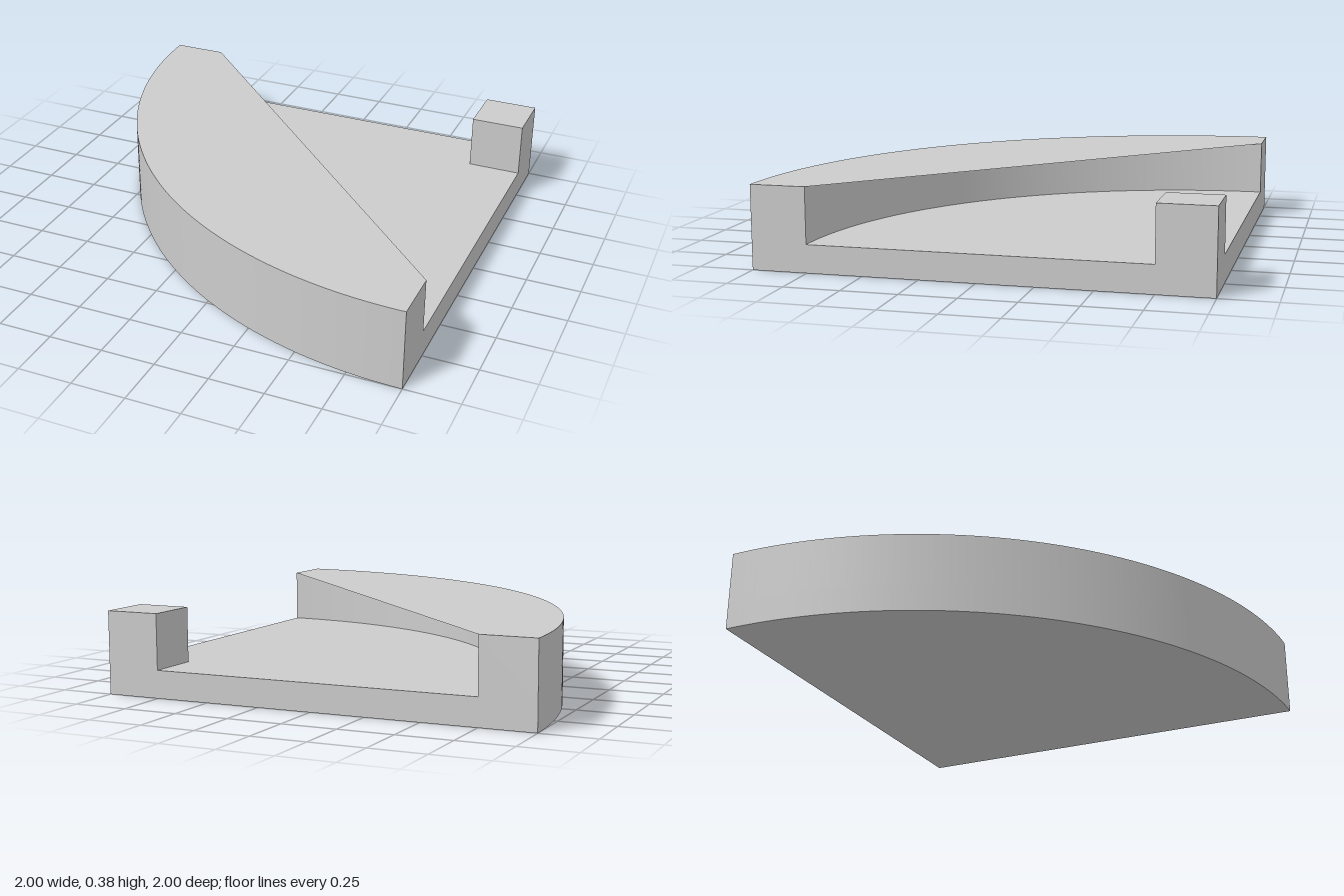
import * as THREE from 'three';
import { toCreasedNormals } from 'three/addons/utils/BufferGeometryUtils.js';

const OUTER = 2, INNER = 1.75, FLOOR = 0.125, TOP = 0.375;
const START = Math.PI, END = 1.5 * Math.PI;

export function createModel() {
  const group = new THREE.Group();
  const material = new THREE.MeshStandardMaterial({ color: 0xcccccc });

  const add = (name, geometry, y, mat = material) => {
    const mesh = new THREE.Mesh(geometry, mat);
    mesh.name = name;
    mesh.position.y = y;
    group.add(mesh);
  };

  // Extrudes a plan shape upwards (shape y becomes -z)
  const slab = (shape, height) => {
    const geometry = new THREE.ExtrudeGeometry(shape, { depth: height, bevelEnabled: false, curveSegments: 64 });
    geometry.rotateX(-Math.PI / 2);
    return toCreasedNormals(geometry, 0.5);
  };

  // Quarter-disc floor, its centre at the back corner
  const floor = new THREE.Shape();
  floor.absarc(1, 1, OUTER, START, END, false);
  floor.lineTo(1, 1);
  floor.closePath();
  add('floor', slab(floor, FLOOR), 0);

  // Curved rim wall
  const rim = new THREE.Shape();
  rim.absarc(1, 1, OUTER, START, END, false);
  rim.absarc(1, 1, INNER, END, START, true);
  rim.closePath();
  add('rimWall', slab(rim, TOP - FLOOR), FLOOR);

  // Thin cover between the rim and the diagonal, open underneath
  const cover = new THREE.Shape();
  cover.absarc(1, 1, INNER, START, END, false);
  cover.closePath();
  const sheet = new THREE.ShapeGeometry(cover, 64).rotateX(-Math.PI / 2);
  add('topCover', sheet, TOP, new THREE.MeshStandardMaterial({ color: 0xcccccc, side: THREE.DoubleSide }));

  // Square post in the corner
  const size = OUTER - INNER;
  const post = new THREE.BoxGeometry(size, TOP - FLOOR, size);
  post.translate(1 - size / 2, (TOP - FLOOR) / 2, -1 + size / 2);
  add('cornerPost', post, FLOOR);

  return group;
}
